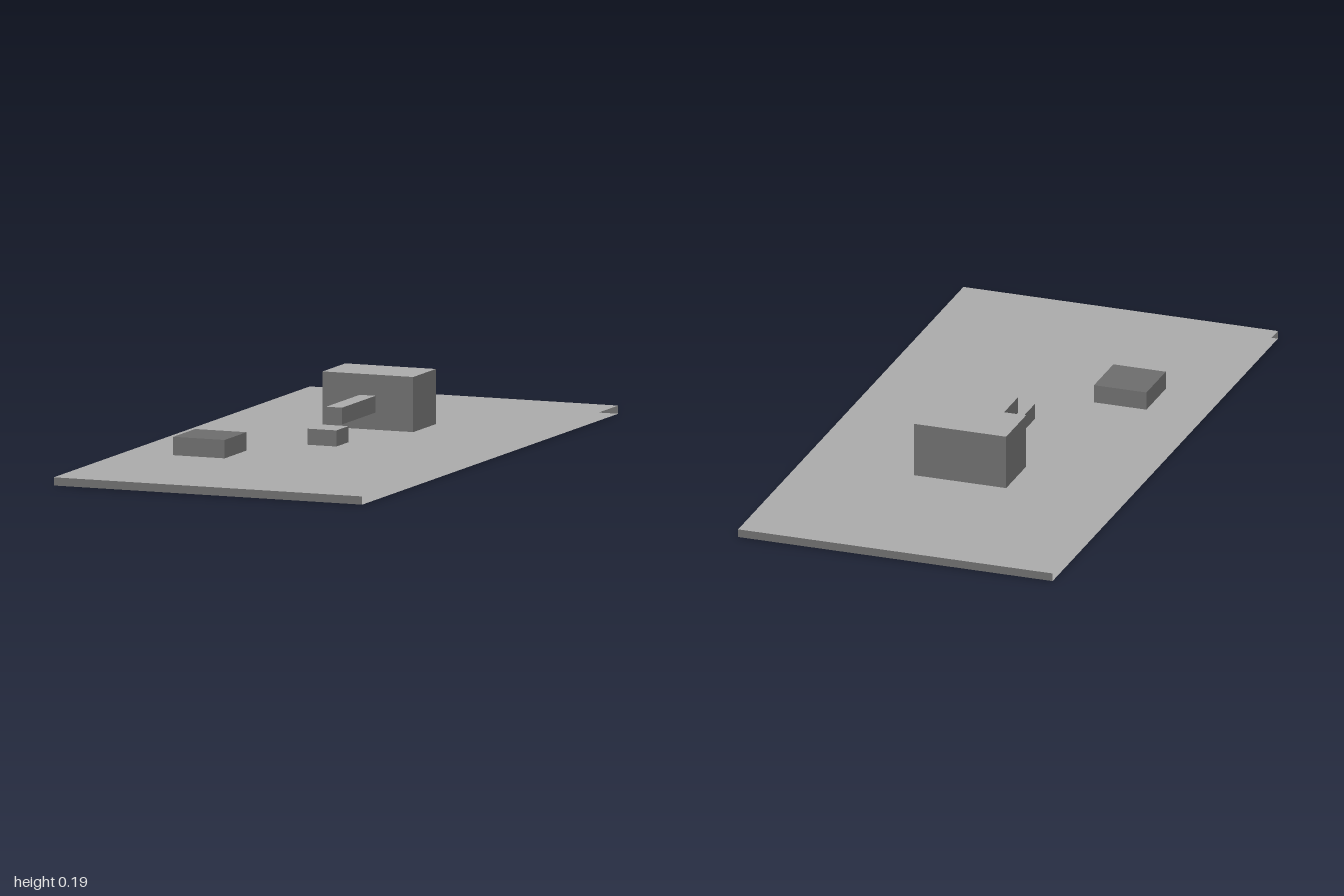
import * as THREE from 'three';

export function createModel() {
  const model = new THREE.Group();
  const light = new THREE.MeshStandardMaterial({ color: 0xaaaaaa, side: THREE.DoubleSide });
  light.name = 'light grey';
  const dark = new THREE.MeshStandardMaterial({ color: 0x6c6c6c, side: THREE.DoubleSide });
  dark.name = 'dark grey';

  // Base slab: horizontal sheets joined by end walls, open along both long sides
  const W = 1.008, L = 2, T = 0.025;
  const base = new THREE.Group();
  base.name = 'base';
  const sheet = (name, w, h, material, y, z, rotX, rotY = 0) => {
    const mesh = new THREE.Mesh(new THREE.PlaneGeometry(w, h), material);
    mesh.name = name;
    mesh.position.set(0, y, z);
    mesh.rotation.set(rotX, rotY, 0);
    base.add(mesh);
  };
  sheet('baseTop', W, L, light, T, 0, -Math.PI / 2);
  sheet('baseBottom', W, L, light, 0, 0, Math.PI / 2);
  sheet('baseFrontEdge', W, T, dark, T / 2, L / 2, 0);
  sheet('baseBackEdge', W, T, dark, T / 2, -L / 2, 0, Math.PI);
  model.add(base);

  // Blocks given by their extents, with dark sides and a chosen top and bottom
  const block = (name, [x0, x1], [y0, y1], [z0, z1], cap) => {
    const geometry = new THREE.BoxGeometry(x1 - x0, y1 - y0, z1 - z0);
    const mesh = new THREE.Mesh(geometry, [dark, dark, cap, cap, dark, dark]);
    mesh.name = name;
    mesh.position.set((x0 + x1) / 2, (y0 + y1) / 2, (z0 + z1) / 2);
    model.add(mesh);
  };
  block('mainBlock', [-0.149, 0.147], [0.027, 0.195], [-0.429, -0.252], light);
  block('raisedBeam', [-0.027, 0.025], [0.08, 0.131], [-0.25, 0.012], light);
  block('frontStep', [-0.048, 0.046], [0.027, 0.076], [0.012, 0.107], light);
  block('cornerBlock', [-0.34, -0.172], [0.027, 0.083], [0.287, 0.459], dark);

  return model;
}
